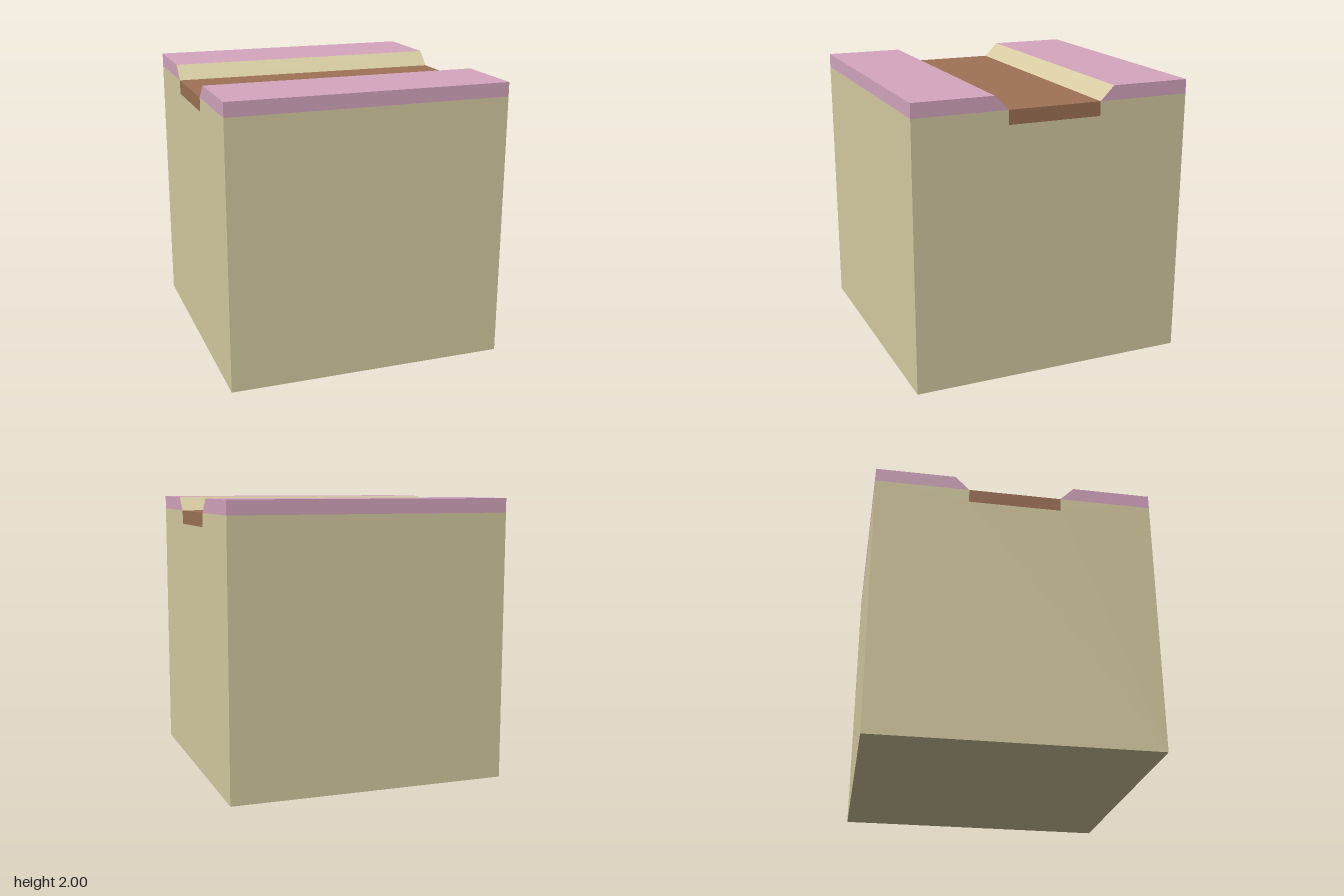
import * as THREE from 'three';

const WIDTH = 2, BED = 1 / 3, RIM = 0.433, LEVEL = 1.9, BED_FLOOR = 1.8;

function material(name, color) {
  const m = new THREE.MeshStandardMaterial({ color });
  m.name = name;
  return m;
}

// Extrudes a z/y profile along the full width of the block, centred on x
function prism(points) {
  const shape = new THREE.Shape(points.map(([z, y]) => new THREE.Vector2(-z, y)));
  const geometry = new THREE.ExtrudeGeometry(shape, { depth: WIDTH, bevelEnabled: false });
  geometry.translate(0, 0, -WIDTH / 2);
  geometry.rotateY(Math.PI / 2);
  return geometry;
}

// Gives faces that tilt upward (the slope) material 1 and all others material 0
function groupSlopes(geometry) {
  const n = geometry.attributes.normal;
  geometry.clearGroups();
  for (let i = 0; i < n.count; i += 3) {
    const sloped = n.getY(i) > 0.3 && n.getY(i) < 0.95;
    geometry.addGroup(i, 3, sloped ? 1 : 0);
  }
  return geometry;
}

export function createModel() {
  const model = new THREE.Group();
  model.name = 'pathTile';
  const sand = material('sand', 0xd8cda3);
  const pink = material('pink', 0xd6a7c0);
  const brown = material('brown', 0xa07357);

  const add = (name, geometry, mat) => {
    const mesh = new THREE.Mesh(geometry, mat);
    mesh.name = name;
    model.add(mesh);
    return mesh;
  };

  // Ground block with a shallow trench across the top
  add('groundBlock', prism([
    [-1, 0], [1, 0], [1, LEVEL], [BED, LEVEL], [BED, BED_FLOOR],
    [-BED, BED_FLOOR], [-BED, LEVEL], [-1, LEVEL],
  ]), sand);

  // Path filling the trench
  const path = add('path', new THREE.BoxGeometry(WIDTH, LEVEL - BED_FLOOR, BED * 2), brown);
  path.position.y = (LEVEL + BED_FLOOR) / 2;

  // Mirrored banks with sand-coloured inner slopes
  const bank = groupSlopes(prism([[BED, LEVEL], [1, LEVEL], [1, 2], [RIM, 2]]));
  add('frontBank', bank, [pink, sand]);
  add('backBank', bank, [pink, sand]).rotation.y = Math.PI;

  return model;
}
